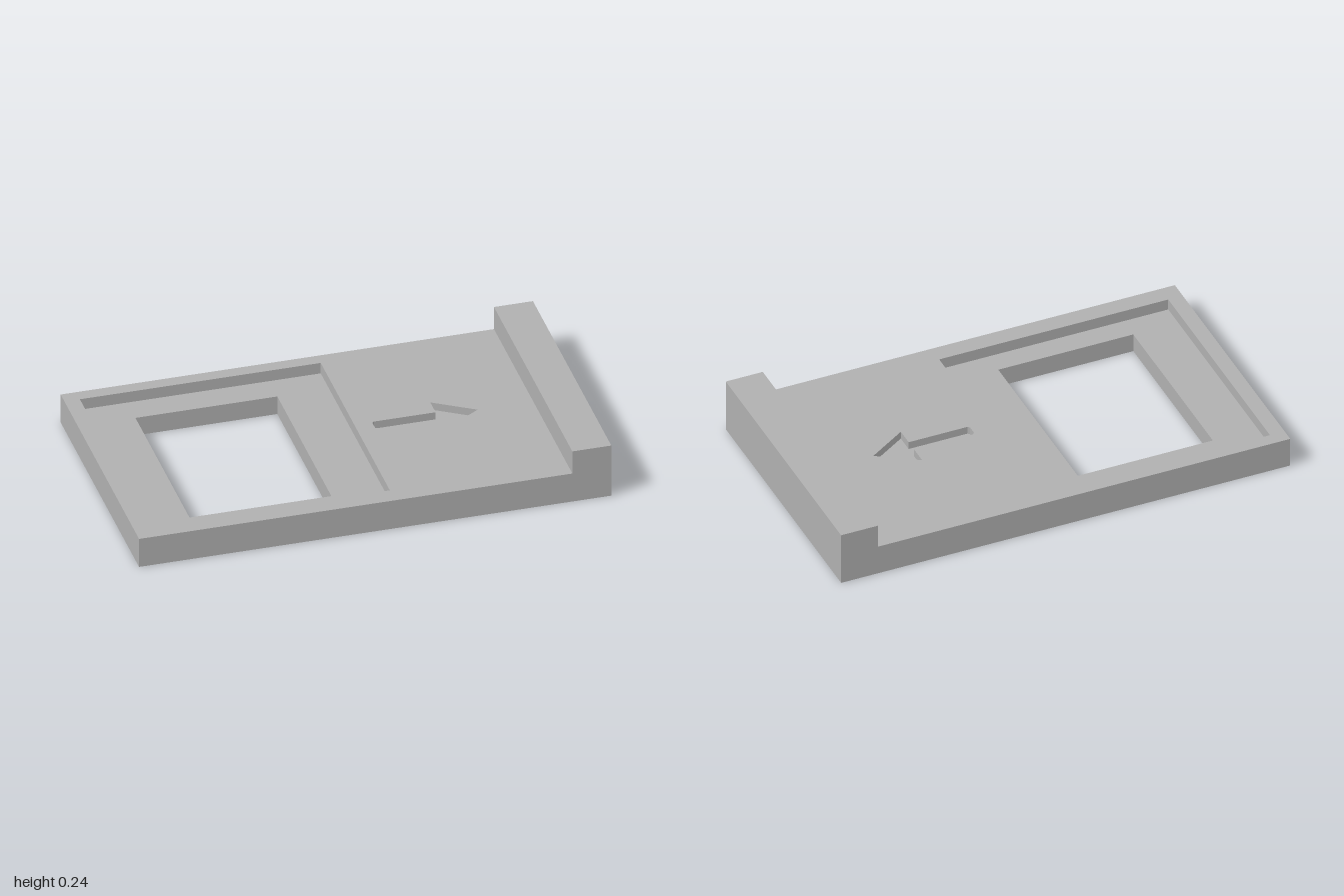
import * as THREE from 'three';

const HALF_DEPTH = 0.58, LIP_X = 0.835;
const LEDGE_Y = 0.084, ARROW_Y = 0.1, TOP_Y = 0.134, LIP_Y = 0.24;

// Outline on the plate: x to the left side, second coordinate to the back (-z)
const outline = (points, Type = THREE.Path) =>
  new Type(points.map(([x, y]) => new THREE.Vector2(x, y)));
const rect = (x0, x1, y0, y1, Type) =>
  outline([[x0, y0], [x1, y0], [x1, y1], [x0, y1]], Type);

export function createModel() {
  const group = new THREE.Group();
  const grey = new THREE.MeshStandardMaterial({ color: 0xb0b0b0 });
  grey.name = 'plain grey';

  const add = (name, geometry) => {
    const mesh = new THREE.Mesh(geometry, grey);
    mesh.name = name;
    group.add(mesh);
    return mesh;
  };

  // Flat slab with cut-outs, from height y0 to y1
  const slab = (name, y0, y1, holes) => {
    const shape = rect(-1, LIP_X, -HALF_DEPTH, HALF_DEPTH, THREE.Shape);
    shape.holes.push(...holes);
    const geometry = new THREE.ExtrudeGeometry(shape, { depth: y1 - y0, bevelEnabled: false });
    geometry.rotateX(-Math.PI / 2).translate(0, y0, 0);
    return add(name, geometry);
  };

  // Cut-outs: through window, square recess and engraved arrow
  const windowHole = rect(-0.735, -0.134, -0.4, 0.4);
  const recess = rect(-0.935, 0.085, -0.5, 0.523);
  const arrow = outline([
    [0.16, -0.02], [0.168, -0.028], [0.43, -0.028], [0.43, -0.107], [0.6, 0],
    [0.43, 0.107], [0.43, 0.028], [0.168, 0.028], [0.16, 0.02],
  ]);

  // Stacked layers of the plate
  slab('basePlate', 0, LEDGE_Y, [windowHole]);
  slab('recessLayer', LEDGE_Y, ARROW_Y, [recess]);
  slab('topLayer', ARROW_Y, TOP_Y, [recess, arrow]);

  // Raised lip across the end
  add('endLip', new THREE.BoxGeometry(1 - LIP_X, LIP_Y, 2 * HALF_DEPTH))
    .position.set((1 + LIP_X) / 2, LIP_Y / 2, 0);

  return group;
}
